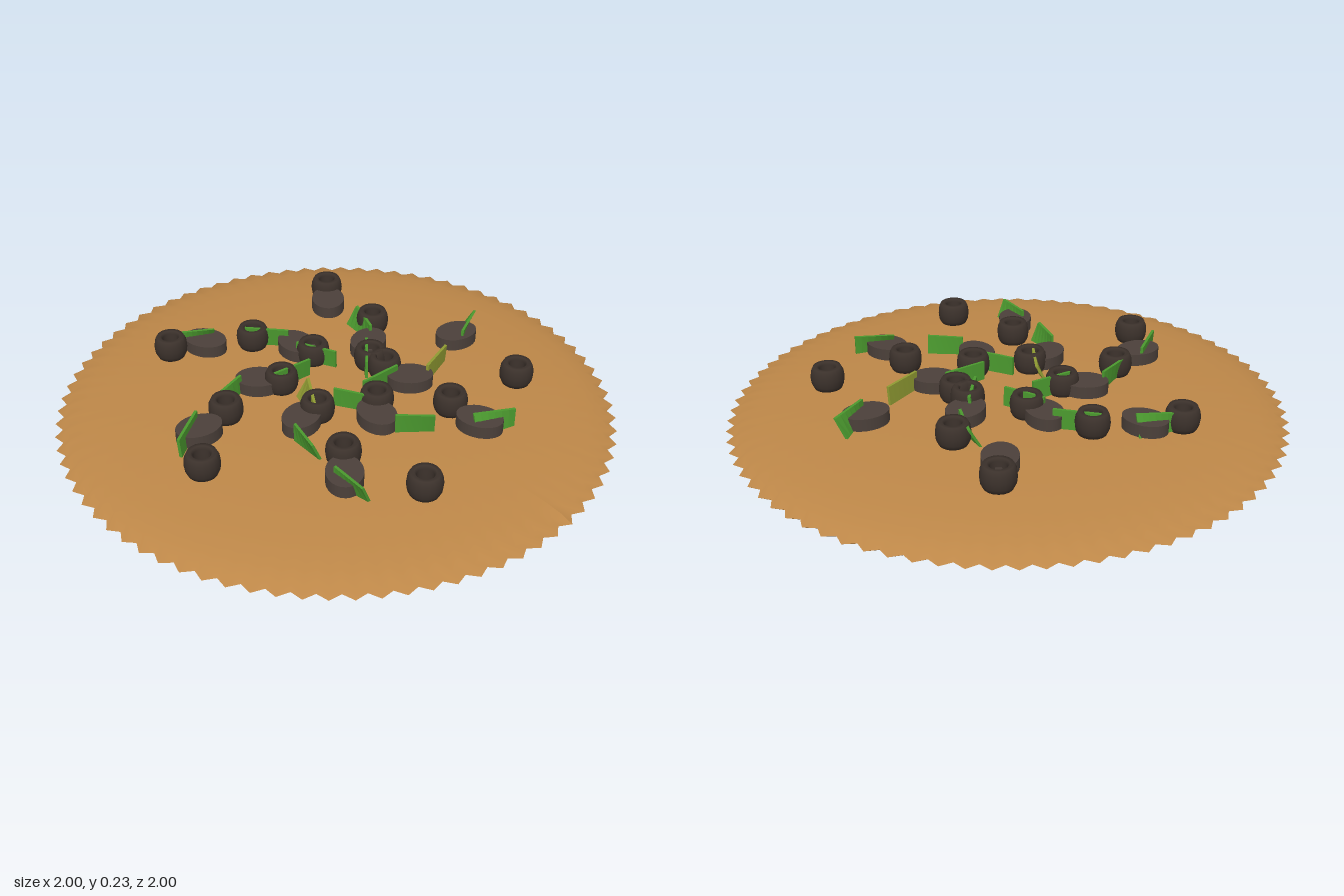
import * as THREE from 'three';

const mat = (name, color, extra = {}) => {
  const m = new THREE.MeshStandardMaterial({ color, ...extra });
  m.name = name;
  return m;
};

// Revolved crust half whose outer edge is pinched into small teeth
function crustHalf(profile, teeth) {
  const pts = profile.map(([r, y]) => new THREE.Vector2(r, y));
  const geo = new THREE.LatheGeometry(pts, teeth * 2);
  const pos = geo.attributes.position;
  for (let i = 0; i < pos.count; i++) {
    const segment = Math.floor(i / pts.length);
    if (segment % 2 === 0) continue;
    const r = Math.hypot(pos.getX(i), pos.getZ(i));
    const k = 1 - 0.027 * Math.pow(r, 8);
    pos.setX(i, pos.getX(i) * k);
    pos.setZ(i, pos.getZ(i) * k);
  }
  geo.computeVertexNormals();
  return geo;
}

// Twisted upright ribbon: upright at the first end, leaning at the second
function stripGeometry(x1, z1, x2, z2, lean) {
  const dx = x2 - x1, dz = z2 - z1, len = Math.hypot(dx, dz);
  const nx = -dz / len, nz = dx / len, steps = 6, thick = 0.005;
  const verts = [], index = [];
  for (let i = 0; i <= steps; i++) {
    const t = i / steps, off = lean * t * 0.5;
    const x = x1 + dx * t, z = z1 + dz * t;
    for (const [side, up] of [[-1, 0], [1, 0], [1, 1], [-1, 1]]) {
      const s = side * thick + (up ? off : -off);
      verts.push(x + nx * s, up ? 0.23 : 0.16, z + nz * s);
    }
    if (i < steps) {
      for (let k = 0; k < 4; k++) {
        const a = i * 4 + k, b = i * 4 + (k + 1) % 4;
        index.push(a, b, a + 4, b, b + 4, a + 4);
      }
    }
  }
  const e = steps * 4;
  index.push(0, 2, 1, 0, 3, 2, e, e + 1, e + 2, e, e + 2, e + 3);
  const geo = new THREE.BufferGeometry();
  geo.setAttribute('position', new THREE.Float32BufferAttribute(verts, 3));
  geo.setIndex(index);
  const flat = geo.toNonIndexed();
  flat.computeVertexNormals();
  return flat;
}

export function createModel() {
  const pizza = new THREE.Group();
  pizza.name = 'pizza';
  const crust = mat('baked crust', 0xbd8748);
  const olive = mat('black olive', 0x3b312b);
  const mushroom = mat('mushroom brown', 0x4b403a);
  const green = mat('green pepper', 0x4a982e, { side: THREE.DoubleSide });
  const yellow = mat('yellow green pepper', 0x8f9a32, { side: THREE.DoubleSide });

  const add = (geo, material, name, parent = pizza) => {
    const mesh = new THREE.Mesh(geo, material);
    mesh.name = name;
    parent.add(mesh);
    return mesh;
  };
  const group = (name) => {
    const g = new THREE.Group();
    g.name = name;
    pizza.add(g);
    return g;
  };

  // Thin lens-shaped base with a crimped rim
  const teeth = 80;
  add(crustHalf([[0, 0.004], [0.3, 0.009], [0.6, 0.022], [0.8, 0.04], [0.9, 0.056], [0.96, 0.07], [1, 0.09]], teeth),
    crust, 'crustBottom');
  add(crustHalf([[1, 0.09], [0.96, 0.108], [0.9, 0.122], [0.8, 0.137], [0.6, 0.151], [0.3, 0.157], [0, 0.158]], teeth),
    crust, 'crustTop');

  // Barrel-shaped olive rings
  const ringProfile = [[0.028, 0.16], [0.05, 0.155], [0.058, 0.172], [0.061, 0.196], [0.058, 0.22],
    [0.05, 0.237], [0.036, 0.237], [0.028, 0.228], [0.028, 0.16]].map(([r, y]) => new THREE.Vector2(r, y));
  const ringGeo = new THREE.LatheGeometry(ringProfile, 18);
  const olives = group('olives');
  for (const [x, z] of [
    [-0.25, -0.6], [0, -0.42], [0.46, -0.46], [0.39, -0.16], [0.075, -0.18], [-0.39, -0.16],
    [-0.135, -0.14], [-0.65, 0], [-0.175, 0.07], [0.19, 0], [0.18, 0.075], [0, 0.19],
    [-0.3, 0.3], [0.16, 0.39], [0.46, 0.46], [-0.25, 0.6]]) {
    add(ringGeo, olive, 'oliveRing', olives).position.set(x, 0, z);
  }

  // Oval mushroom slices, long axis pointing outward
  const sliceGeo = new THREE.CylinderGeometry(1, 1, 0.045, 24);
  sliceGeo.scale(0.063, 1, 0.083);
  const slices = group('mushrooms');
  for (const [x, z] of [
    [-0.14, -0.53], [0.385, -0.385], [0.07, -0.26], [-0.53, -0.145], [-0.19, -0.2], [0.26, -0.07],
    [-0.255, 0.07], [0.185, 0.19], [0.525, 0.14], [-0.07, 0.25], [-0.385, 0.38], [0.14, 0.53]]) {
    const m = add(sliceGeo, mushroom, 'mushroomSlice', slices);
    m.position.set(x, 0.184, z);
    m.rotation.y = Math.atan2(x, z);
  }

  // Pepper strips: x and z of both ends, then the lean of the second end
  const peppers = group('peppers');
  for (const s of [
    [-0.2, -0.6, -0.09, -0.54, 0.04], [-0.02, -0.45, 0.08, -0.31, 0.005], [-0.25, -0.23, -0.41, -0.19, 0.02],
    [-0.5, -0.19, -0.65, -0.11, 0.005], [-0.17, -0.15, -0.01, -0.12, 0.005], [0.04, -0.23, 0.09, -0.08, 0.005],
    [0.31, -0.1, 0.365, -0.24, 0.04], [0.11, 0.05, 0.23, -0.06, 0.01], [-0.33, 0.11, -0.365, 0.24, 0.03],
    [-0.41, 0.36, -0.42, 0.5, 0.03], [-0.09, 0.07, -0.03, 0.21, 0.005], [-0.07, 0.33, 0.02, 0.43, 0.01],
    [0.01, 0.12, 0.17, 0.14, 0.005], [0.51, 0.18, 0.65, 0.11, 0.04], [0.23, 0.61, 0.1, 0.54, 0.04]]) {
    add(stripGeometry(...s), green, 'greenPepperStrip', peppers);
  }
  for (const s of [[-0.2, 0.08, -0.12, -0.05, 0.04], [0.24, 0.225, 0.39, 0.19, 0.005]]) {
    add(stripGeometry(...s), yellow, 'yellowPepperStrip', peppers);
  }
  return pizza;
}
